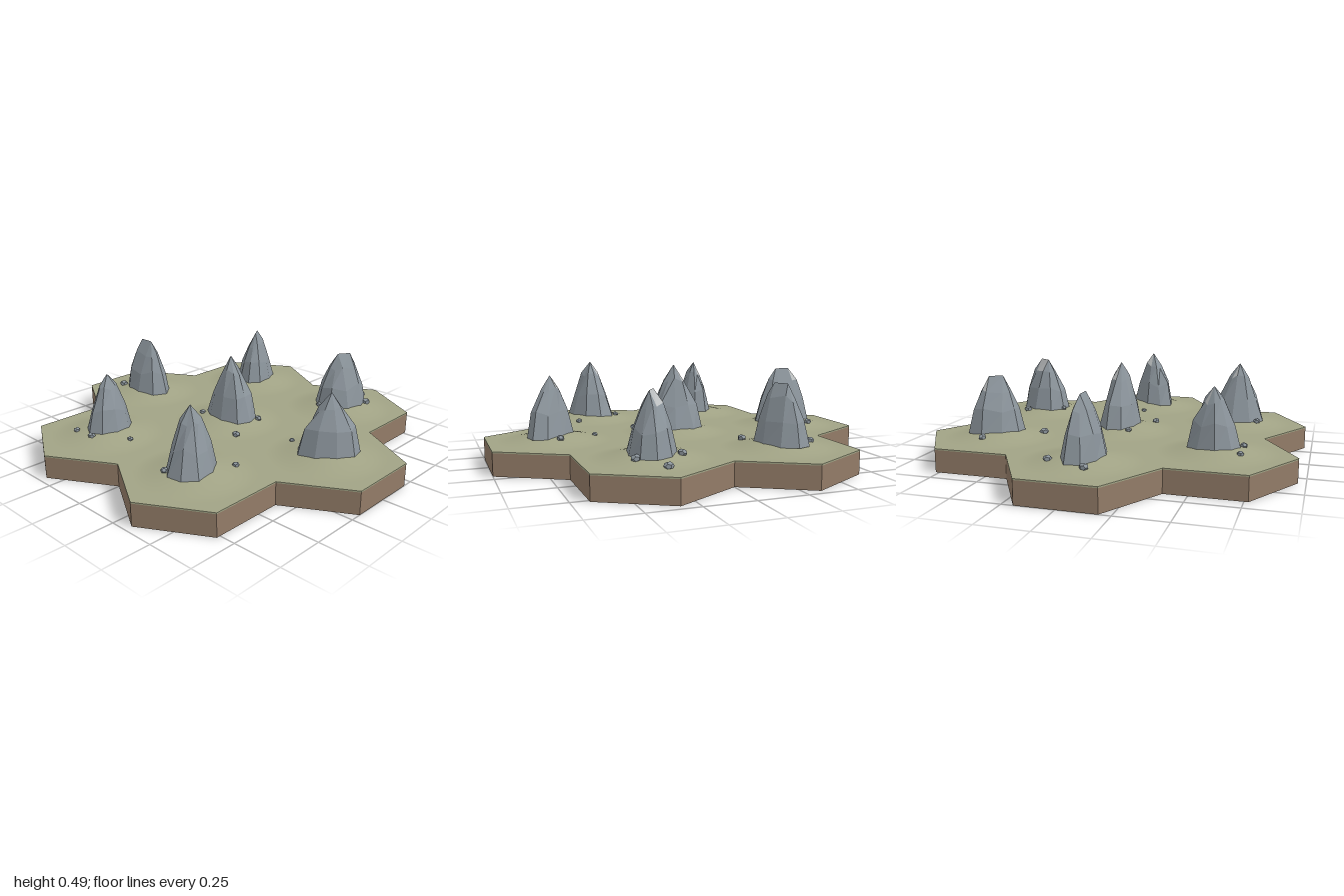
import * as THREE from 'three';

const TOP = 0.122, HEX_R = 0.3849, SIDES = 9;

// One hex in the middle and six around it
const HEXES = [[0, 0]];
for (let k = 0; k < 6; k++) HEXES.push([Math.cos(k * Math.PI / 3) * 2 / 3, Math.sin(k * Math.PI / 3) * 2 / 3]);

// Crags: long and short half widths, turn, peak height, ridge half length along x and z
const CRAGS = [
  { name: 'centreCrag', at: [0.01, -0.01], size: [0.15, 0.11], turn: 0, height: 0.49, ridge: [0, 0] },
  { name: 'rightwardCrag', at: [0.68, 0], size: [0.155, 0.1], turn: -0.77, height: 0.455, ridge: [0, 0] },
  { name: 'leftwardCrag', at: [-0.665, 0.01], size: [0.155, 0.105], turn: 0, height: 0.445, ridge: [0.04, 0] },
  { name: 'frontRightCrag', at: [0.325, 0.59], size: [0.145, 0.115], turn: 1.1, height: 0.465, ridge: [0, 0] },
  { name: 'frontLeftCrag', at: [-0.335, 0.555], size: [0.13, 0.1], turn: 1.57, height: 0.445, ridge: [0, 0] },
  { name: 'backLeftCrag', at: [-0.325, -0.595], size: [0.15, 0.105], turn: 1.16, height: 0.44, ridge: [0.02, 0.03] },
  { name: 'backRightCrag', at: [0.335, -0.595], size: [0.15, 0.115], turn: 1.98, height: 0.44, ridge: [-0.02, 0.03] },
];

// Loose stones: x, z, radius
const STONES = [
  [-0.49, -0.6, 0.022], [-0.23, -0.37, 0.025], [0.33, -0.81, 0.025], [0.21, -0.66, 0.024], [0.44, -0.69, 0.025],
  [0.45, 0, 0.015], [0.28, -0.46, 0.02], [-0.76, -0.13, 0.022], [-0.83, 0.07, 0.024], [0.15, -0.08, 0.02],
  [-0.13, 0.07, 0.018], [0.19, 0.14, 0.022], [0.66, -0.14, 0.022], [-0.15, 0.57, 0.016], [-0.43, 0.7, 0.018],
  [-0.3, 0.7, 0.02], [0.19, 0.52, 0.018], [0.44, 0.41, 0.018], [0.26, 0.7, 0.02],
];

function material(name, color) {
  const m = new THREE.MeshStandardMaterial({ color });
  m.name = name;
  return m;
}

// Small seeded spread between -0.5 and 0.5
function spread(seed) {
  let s = seed;
  return () => ((s = (s * 16807) % 2147483647) / 2147483647) - 0.5;
}

// Ground rises in a soft mound at every hex centre
function groundHeight(x, z) {
  return HEXES.reduce((y, [cx, cz]) =>
    y + 0.042 * (1 - THREE.MathUtils.smoothstep(Math.hypot(x - cx, z - cz), 0.02, 0.29)), TOP);
}

// Outline of the seven joined hexes, mirrored from one quadrant
function clusterShape() {
  const q = [[1, HEX_R / 2], [2 / 3, HEX_R], [2 / 3, 2 * HEX_R], [1 / 3, 2.5 * HEX_R]];
  const r = [...q].reverse();
  const flip = (list, sx, sy) => list.map(([x, y]) => [x * sx, y * sy]);
  const pts = [...q, [0, 2 * HEX_R], ...flip(r, -1, 1), ...flip(q, -1, -1), [0, -2 * HEX_R], ...flip(r, 1, -1)];
  return new THREE.Shape(pts.map(([x, y]) => new THREE.Vector2(x, y)));
}

function slab(y0, y1) {
  const g = new THREE.ExtrudeGeometry(clusterShape(), { depth: y1 - y0, bevelEnabled: false });
  return g.rotateX(-Math.PI / 2).translate(0, y0, 0);
}

// Hex disc of fine rings, lifted onto the mounded ground
function tileSurface(cx, cz) {
  const g = new THREE.RingGeometry(0.0001, HEX_R, 48, 14).rotateX(-Math.PI / 2);
  const p = g.attributes.position, normal = g.attributes.normal, v = new THREE.Vector3(), e = 0.01;
  for (let i = 0; i < p.count; i++) {
    // Pull the circle in to a pointy-topped hex
    const x0 = p.getX(i), z0 = p.getZ(i), sector = Math.PI / 3;
    const a = Math.atan2(z0, x0), off = a - Math.round(a / sector) * sector;
    const k = Math.cos(Math.PI / 6) / Math.cos(off);
    const x = cx + x0 * k, z = cz + z0 * k;
    p.setXYZ(i, x, groundHeight(x, z), z);
    v.set(groundHeight(x - e, z) - groundHeight(x + e, z), 2 * e,
      groundHeight(x, z - e) - groundHeight(x, z + e)).normalize();
    normal.setXYZ(i, v.x, v.y, v.z);
  }
  return g;
}

// Crag: uneven oval foot lofted in rings towards one peak or a short ridge
function cragGeometry({ at, size, turn, height, ridge }, seed) {
  const rand = spread(seed), base = 0.145;
  const columns = Array.from({ length: SIDES }, (_, i) => {
    const a = i / SIDES * Math.PI * 2, r = 1.02 + rand() * 0.12;
    const u = Math.cos(a) * size[0] * r, v = Math.sin(a) * size[1] * r;
    const x = u * Math.cos(turn) - v * Math.sin(turn), z = u * Math.sin(turn) + v * Math.cos(turn);
    const side = Math.sign(x * ridge[0] + z * ridge[1]);
    return {
      foot: new THREE.Vector3(at[0] + x, base, at[1] + z),
      peak: new THREE.Vector3(at[0] + ridge[0] * side, height, at[1] + ridge[1] * side),
    };
  });
  // Each level: share of the height, share of the way in
  const rings = [[0, 0], [0.4, 0.24], [0.76, 0.62], [1, 1]].map(([rise, inward], k) =>
    columns.map(({ foot, peak }) => {
      const wobble = k === 1 || k === 2 ? 0.12 : 0;
      const p = foot.clone().lerp(peak, inward + rand() * wobble);
      p.y = base + (height - base) * (rise + rand() * wobble);
      return p;
    }));
  const pale = Math.floor((3.8 - turn) / (Math.PI * 2) * SIDES);
  const grey = [], light = [];
  for (let k = 0; k < 3; k++) {
    for (let i = 0; i < SIDES; i++) {
      const j = (i + 1) % SIDES;
      const a = rings[k][i], b = rings[k][j], c = rings[k + 1][i], d = rings[k + 1][j];
      const out = k === 2 && i === pale ? light : grey;
      out.push(a, c, b);
      if (c.distanceTo(d) > 1e-4) out.push(b, c, d);
    }
  }
  const g = new THREE.BufferGeometry().setFromPoints([...grey, ...light]);
  g.addGroup(0, grey.length, 0);
  g.addGroup(grey.length, light.length, 1);
  g.computeVertexNormals();
  return g;
}

export function createModel() {
  const model = new THREE.Group();
  model.name = 'rockyHexField';
  const earth = material('earth brown', 0x927b67);
  const grass = material('dry grass', 0xa1a385);
  const rock = material('grey rock', 0x8b949b);
  const paleRock = material('pale rock', 0xbfc2c3);
  const add = (name, geometry, mat) => {
    const m = new THREE.Mesh(geometry, mat);
    m.name = name;
    model.add(m);
    return m;
  };

  // Earth base with a thin turf edge
  add('earthBase', slab(0, 0.114), earth);
  add('turfEdge', slab(0.114, TOP - 0.001), grass);

  // Mounded turf
  HEXES.forEach(([x, z]) => add('turfTile', tileSurface(x, z), grass));

  // One crag on each tile
  CRAGS.forEach((c, i) => add(c.name, cragGeometry(c, 977 + i * 53131), [rock, paleRock]));

  // Scattered stones
  const stoneShape = new THREE.DodecahedronGeometry(1, 0);
  STONES.forEach(([x, z, r], i) => {
    const stone = add('looseStone', stoneShape, rock);
    stone.position.set(x, groundHeight(x, z) + r * 0.35, z);
    stone.scale.set(r, r * 0.75, r * 0.9);
    stone.rotation.y = i * 1.7;
  });
  return model;
}
